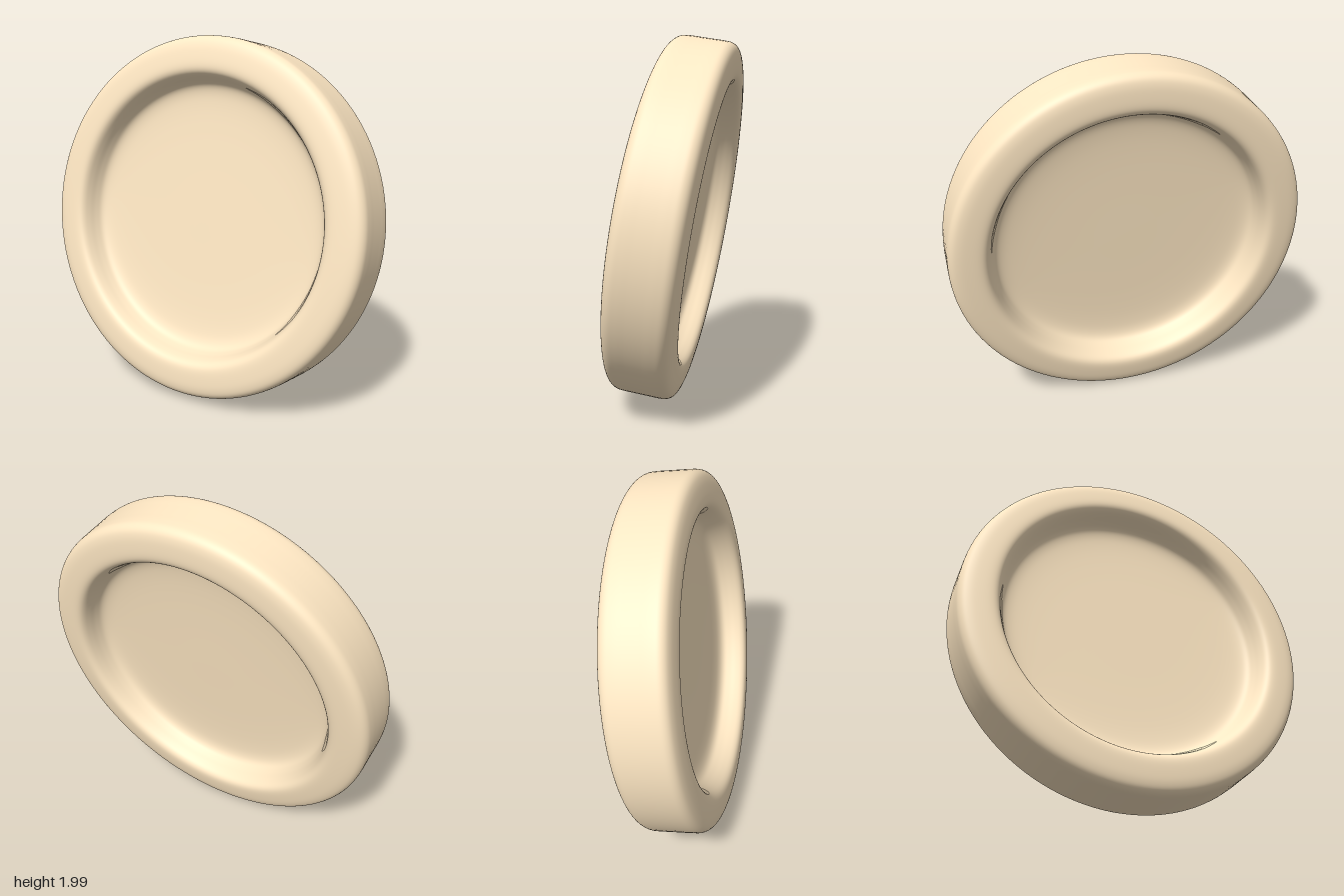
import * as THREE from 'three';

// Half profile (radius, height): thin web, steep recess wall, crowned rim, rounded outer edge
const PROFILE = [
  [0, 0.018], [0.3, 0.018], [0.5, 0.02], [0.62, 0.025], [0.69, 0.035],
  [0.73, 0.055], [0.75, 0.09], [0.765, 0.13], [0.78, 0.16], [0.8, 0.177],
  [0.83, 0.183], [0.88, 0.18], [0.93, 0.172], [0.965, 0.157], [0.984, 0.13],
  [0.988, 0.09], [0.988, 0.04],
];

export function createModel() {
  const group = new THREE.Group();
  group.name = 'dishedDisc';

  // Both faces share the same recess, so mirror the half profile
  const front = new THREE.SplineCurve(PROFILE.map(([r, h]) => new THREE.Vector2(r, h))).getPoints(80);
  const back = front.map((p) => new THREE.Vector2(p.x, -p.y));
  const geometry = new THREE.LatheGeometry([...back, ...front.reverse()], 128);

  const disc = new THREE.Mesh(geometry, new THREE.MeshStandardMaterial({ color: 0xffe8c4 }));
  disc.name = 'rimmedDisc';

  // Lean the disc back and turn it slightly to its right
  const axis = new THREE.Vector3(-0.098, 0.16, 1).normalize();
  disc.quaternion.setFromUnitVectors(new THREE.Vector3(0, 1, 0), axis);
  disc.position.y = 1;
  group.add(disc);
  return group;
}
